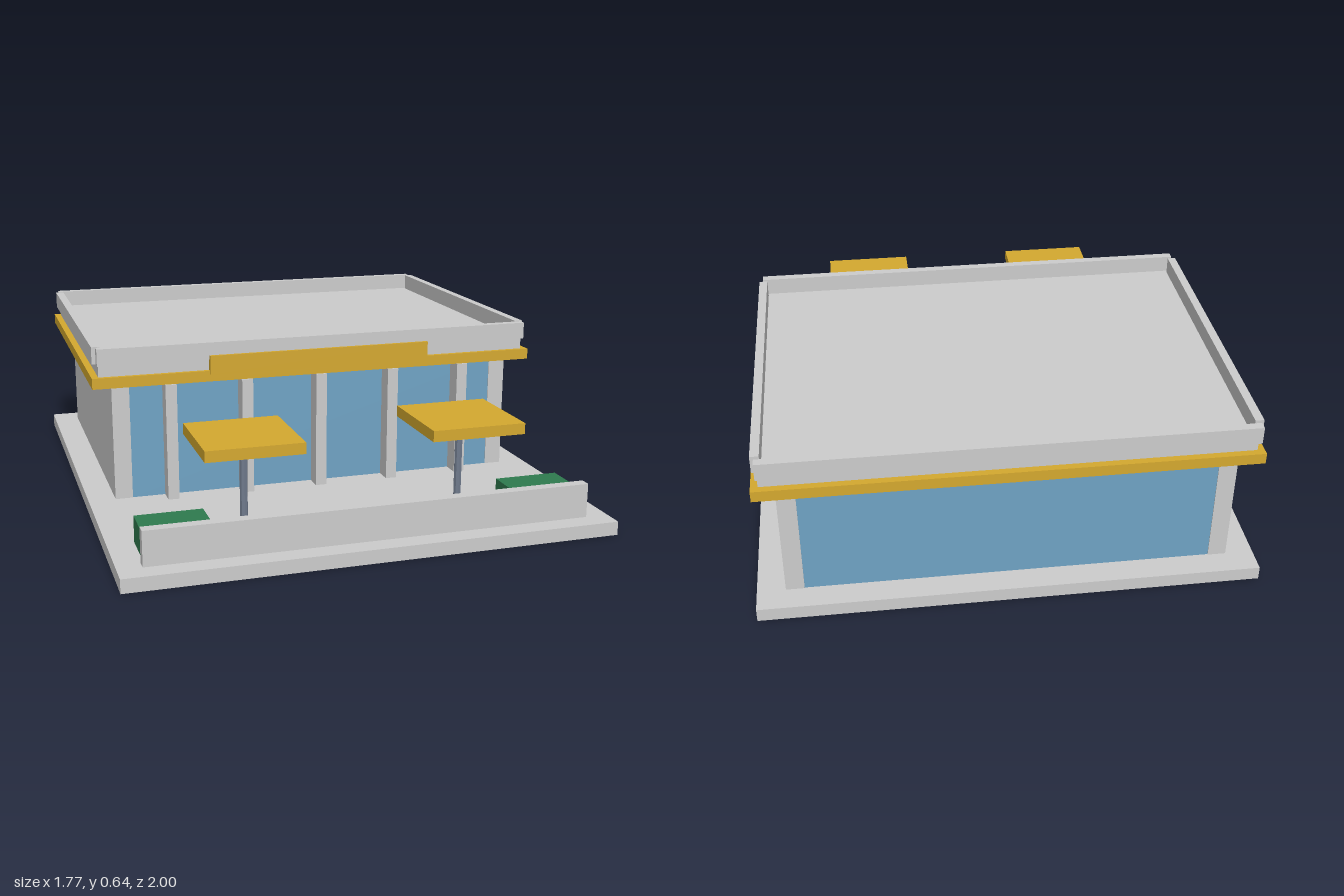
import * as THREE from 'three';

const paint = (color) => new THREE.MeshStandardMaterial({ color, flatShading: true });

export function createModel() {
  const grey = paint(0xcccccc);
  const gold = paint(0xd4a82f);
  const glass = paint(0x6fa3c4);
  const green = paint(0x2e7a4e);
  const steel = paint(0x6f7a8c);

  const model = new THREE.Group();
  model.name = 'cafePavilion';

  // Box given by its minimum and maximum on each axis
  function box(name, material, [x0, x1], [y0, y1], [z0, z1], parent = model) {
    const mesh = new THREE.Mesh(new THREE.BoxGeometry(x1 - x0, y1 - y0, z1 - z0), material);
    mesh.position.set((x0 + x1) / 2, (y0 + y1) / 2, (z0 + z1) / 2);
    mesh.name = name;
    parent.add(mesh);
    return mesh;
  }
  // Range mirrored to the given side
  const side = (s, a, b) => (s > 0 ? [a, b] : [-b, -a]);

  const floor = 0.05, eave = 0.49;

  // Ground slab and low terrace wall
  box('baseSlab', grey, [-0.885, 0.885], [0, floor], [-1, 1]);
  box('terraceWall', grey, [-0.8, 0.8], [floor, 0.175], [0.885, 0.925]);

  // Building: side walls with glazing between them at front and back
  for (const s of [1, -1]) {
    box(s > 0 ? 'leftWall' : 'rightWall', grey, side(s, 0.72, 0.785), [floor, eave], [-0.91, 0.25]);
  }
  box('frontGlass', glass, [-0.72, 0.72], [floor, eave], [0.22, 0.247]);
  box('backGlass', glass, [-0.72, 0.72], [floor, eave], [-0.907, -0.88]);

  // Front mullions
  for (let i = -2; i <= 2; i++) {
    const x = i * 0.288;
    box('mullion', grey, [x - 0.021, x + 0.021], [floor, eave], [0.247, 0.313]);
  }

  // Roof: coloured fascia, slab and parapets
  box('fascia', gold, [-0.86, 0.86], [eave, 0.53], [-0.965, 0.304]);
  box('roofSlab', grey, [-0.835, 0.835], [0.53, 0.572], [-0.94, 0.288]);
  const parapet = [0.572, 0.636];
  box('frontParapet', grey, [-0.84, 0.84], parapet, [0.271, 0.302]);
  box('backParapet', grey, [-0.84, 0.84], parapet, [-0.962, -0.932]);
  for (const s of [1, -1]) {
    box('sideParapet', grey, side(s, 0.822, 0.853), parapet, [-0.917, 0.258]);
  }
  box('signPanel', gold, [-0.428, 0.428], [0.517, 0.588], [0.286, 0.314]);

  // Terrace canopies on poles, with planters beside them
  for (const s of [1, -1]) {
    const set = new THREE.Group();
    set.name = s > 0 ? 'leftTerraceSet' : 'rightTerraceSet';
    model.add(set);
    box('canopy', gold, side(s, 0.229, 0.575), [0.36, 0.4], [0.511, 0.858], set);
    box('planter', green, side(s, 0.55, 0.79), [floor, 0.146], [0.7, 0.858], set);
    const pole = new THREE.Mesh(new THREE.CylinderGeometry(0.014, 0.014, 0.31, 8), steel);
    pole.position.set(s * 0.402, 0.205, 0.685);
    pole.name = 'canopyPole';
    set.add(pole);
  }

  return model;
}
